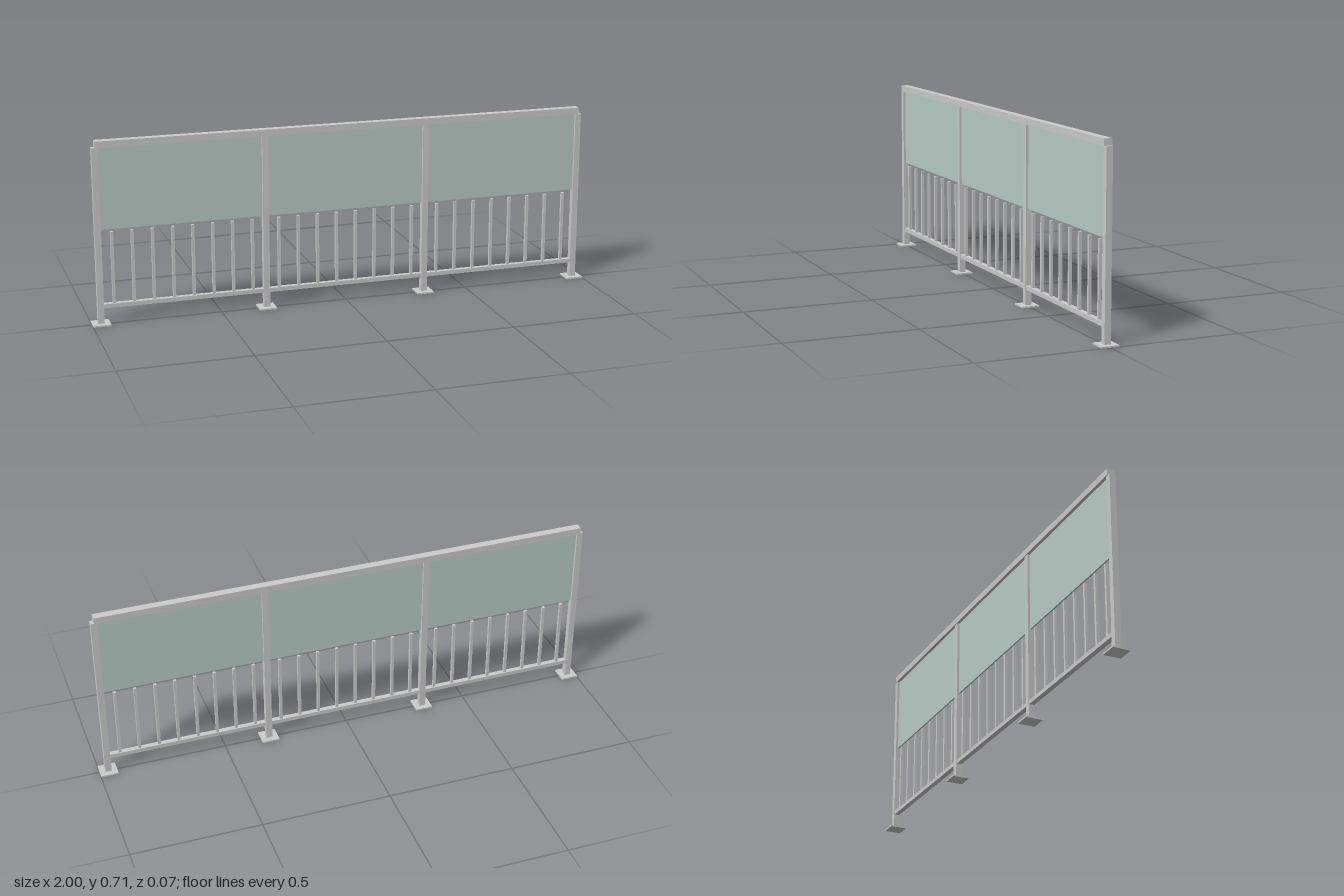
import * as THREE from 'three';

export function createModel() {
  const model = new THREE.Group();
  const metal = new THREE.MeshStandardMaterial({ color: 0xcccccc });
  const glass = new THREE.MeshStandardMaterial({ color: 0xb9ccc6 });

  // Box spanning y0..y1, centred on x and z = 0
  function box(name, x, y0, y1, width, depth, material = metal, parent = model) {
    const mesh = new THREE.Mesh(new THREE.BoxGeometry(width, y1 - y0, depth), material);
    mesh.name = name;
    mesh.position.set(x, (y0 + y1) / 2, 0);
    parent.add(mesh);
  }

  const pitch = 0.644;      // distance between post centres
  const postSize = 0.024;
  const clear = pitch - postSize;

  // Posts standing on square base plates
  for (let i = 0; i < 4; i++) {
    const x = (i - 1.5) * pitch;
    box('basePlate', x, 0, 0.006, 0.068, 0.068);
    box('post', x, 0.006, 0.683, postSize, postSize);
  }

  // Handrail along the post tops
  box('handrail', 0, 0.683, 0.708, 3 * pitch, 0.031);

  // Three bays: bottom rail, balusters and infill panel
  for (let i = 0; i < 3; i++) {
    const bay = new THREE.Group();
    bay.name = 'bay';
    bay.position.x = (i - 1) * pitch;
    model.add(bay);
    box('bottomRail', 0, 0.064, 0.08, clear, 0.02, metal, bay);
    for (let j = 0; j < 8; j++) {
      box('baluster', (j - 3.5) * 0.077, 0.08, 0.359, 0.011, 0.011, metal, bay);
    }
    box('panel', 0, 0.369, 0.683, clear, 0.006, glass, bay);
  }

  return model;
}
